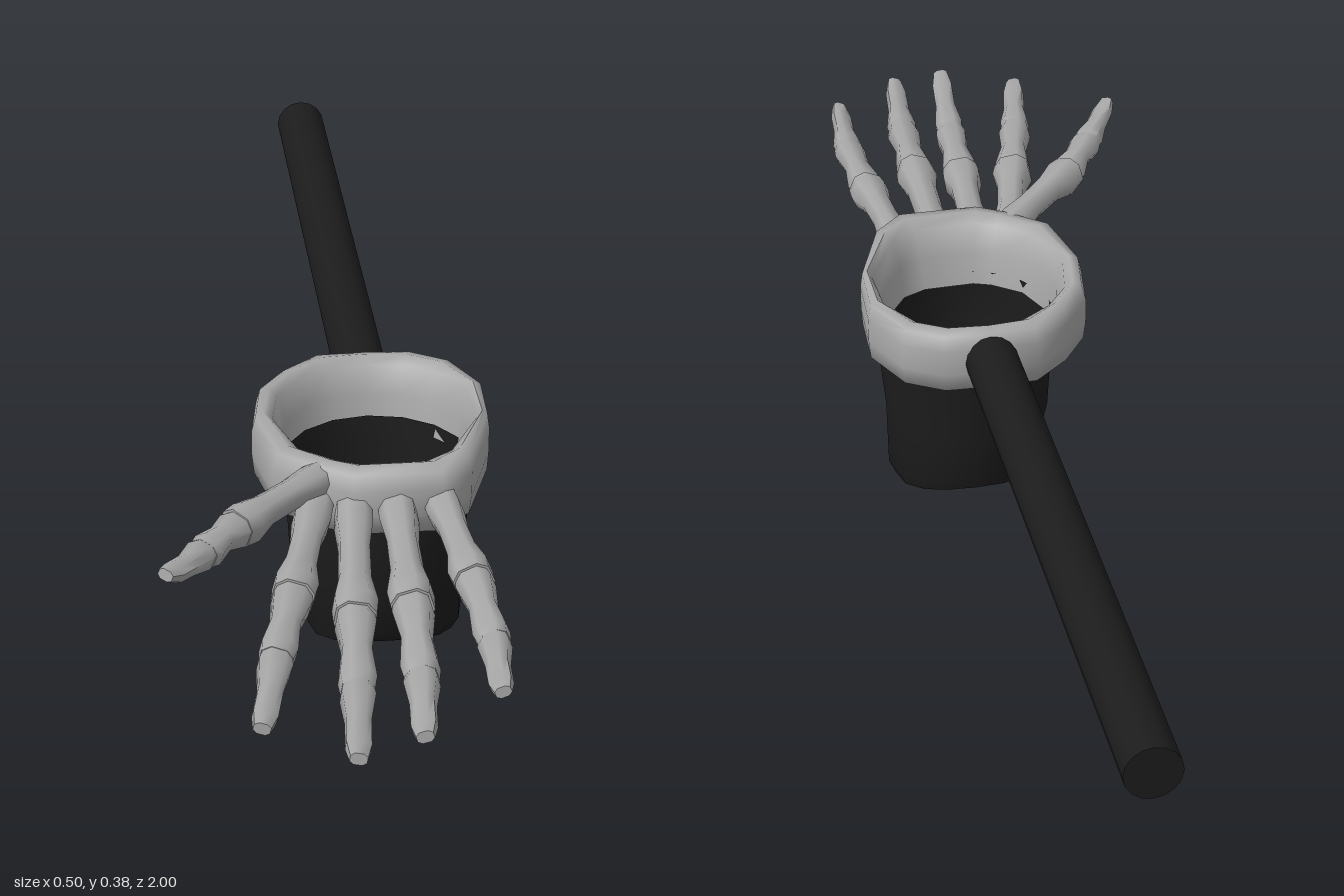
import * as THREE from 'three';
import { toCreasedNormals, mergeVertices } from 'three/addons/utils/BufferGeometryUtils.js';

const bone = new THREE.MeshStandardMaterial({ color: 0xa8a8a8 });
bone.name = 'bone grey';
const black = new THREE.MeshStandardMaterial({ color: 0x1c1c1c, side: THREE.DoubleSide });
black.name = 'soft black';

// Skin a list of equal-length loops, optionally closing both ends with fans
function loft(loops, caps, crease) {
  const n = loops[0].length;
  const pos = loops.flat().flatMap((p) => [p.x, p.y, p.z]);
  const index = [];
  for (let r = 0; r < loops.length - 1; r++) {
    for (let i = 0; i < n; i++) {
      const j = (i + 1) % n;
      const a = r * n + i, b = r * n + j, c = a + n, d = b + n;
      index.push(a, b, d, a, d, c);
    }
  }
  if (caps) {
    const last = (loops.length - 1) * n;
    for (let i = 1; i < n - 1; i++) {
      index.push(0, i + 1, i);
      index.push(last, last + i, last + i + 1);
    }
  }
  let g = new THREE.BufferGeometry();
  g.setAttribute('position', new THREE.Float32BufferAttribute(pos, 3));
  g.setIndex(index);
  g = mergeVertices(g, 1e-5);
  return toCreasedNormals(g, crease);
}

function add(parent, name, geometry, material) {
  const mesh = new THREE.Mesh(geometry, material);
  mesh.name = name;
  parent.add(mesh);
  return mesh;
}

// One finger bone: chamfered-square sections [t, half width, half height, lift]
function boneGeometry(a, b, sections, size, roll) {
  const d = b.clone().sub(a).normalize();
  const s = new THREE.Vector3(0, 1, 0).cross(d).normalize();
  s.applyAxisAngle(d, roll);
  const u = d.clone().cross(s);
  const corner = [[1, -0.5], [1, 0.5], [0.5, 1], [-0.5, 1], [-1, 0.5], [-1, -0.5], [-0.5, -1], [0.5, -1]];
  const loops = sections.map(([t, w, h, lift]) => {
    const c = a.clone().lerp(b, t);
    c.y += lift * size;
    return corner.map(([x, y]) => c.clone()
      .addScaledVector(s, x * w * size).addScaledVector(u, y * h * size));
  });
  return loft(loops, true, 0.9);
}

const LONG = [[-0.04, 0.024, 0.024, 0], [0.15, 0.025, 0.025, 0], [0.4, 0.02, 0.02, 0.003],
  [0.7, 0.021, 0.021, 0.003], [0.9, 0.029, 0.028, 0], [1.02, 0.027, 0.026, 0]];
const MIDDLE = [[-0.06, 0.022, 0.021, 0], [0.12, 0.026, 0.024, 0], [0.5, 0.019, 0.017, 0.002],
  [0.88, 0.024, 0.022, 0], [1.03, 0.021, 0.019, 0]];
const TIP = [[-0.08, 0.018, 0.016, 0], [0.12, 0.022, 0.02, 0], [0.45, 0.016, 0.014, -0.002],
  [0.8, 0.016, 0.012, 0], [1, 0.011, 0.008, 0.004]];

export function createModel() {
  const model = new THREE.Group();
  model.name = 'skeletonHandHoop';

  // Handle rod
  const rod = add(model, 'handle', new THREE.CylinderGeometry(0.039, 0.039, 1.02, 16), black);
  rod.rotation.x = Math.PI / 2;
  rod.position.set(0.085, 0.317, -0.49);

  // Palm hoop: irregular outline outside, round opening inside
  const cx = 0.085, cz = 0.19;
  const outline = [[0.015, 0], [-0.04, 0.05], [-0.08, 0.11], [-0.093, 0.2], [-0.072, 0.32], [-0.01, 0.375],
    [0.03, 0.4], [0.155, 0.4], [0.2, 0.35], [0.242, 0.22], [0.247, 0.12], [0.21, 0.035], [0.155, 0], [0.085, -0.003]];
  // k = 0 on the round opening, k = 1 on the outline
  const hoop = (k, y, radius = 0.133) => outline.map(([x, z]) => {
    const a = Math.atan2(z - cz, x - cx);
    const ix = cx + radius * Math.cos(a), iz = cz + radius * Math.sin(a);
    return new THREE.Vector3(ix + (x - ix) * k, y, iz + (z - iz) * k);
  });
  const profile = [[0, 0.265], [0.6, 0.262], [0.93, 0.272], [1, 0.3], [1, 0.338],
    [0.88, 0.36], [0.6, 0.365], [0.35, 0.355], [0.12, 0.315], [0, 0.265]];
  add(model, 'palmHoop', loft(profile.map(([k, y]) => hoop(k, y)), false, 1.1), bone);

  // Hanging pouch: [y, radius x, radius z, centre x, centre z, hem wave]
  const pouch = [[0.285, 0.134, 0.134, 0.086, 0.195, 0], [0.25, 0.134, 0.135, 0.088, 0.199, 0],
    [0.14, 0.125, 0.131, 0.086, 0.2, 0], [0.05, 0.113, 0.115, 0.097, 0.195, 0.01],
    [0.032, 0.106, 0.108, 0.094, 0.192, 0.013], [0.004, 0.001, 0.001, 0.09, 0.197, 0]];
  const pouchLoops = pouch.map(([y, rx, rz, x, z, wave]) => Array.from({ length: 16 }, (_, i) => {
    const a = (i / 16) * Math.PI * 2;
    return new THREE.Vector3(x + rx * Math.cos(a), y - wave * Math.cos(2 * a), z + rz * Math.sin(a));
  }));
  add(model, 'pouch', loft(pouchLoops, false, 0.8), black);

  // Fingers: joint positions from palm to tip
  const fingers = [
    { name: 'thumb', size: 0.95, roll: -0.3,
      joints: [[-0.005, 0.337, 0.345], [-0.135, 0.345, 0.495], [-0.185, 0.353, 0.575], [-0.24, 0.372, 0.67]] },
    { name: 'indexFinger', size: 1, roll: -0.25,
      joints: [[-0.022, 0.308, 0.385], [-0.07, 0.3, 0.605], [-0.105, 0.295, 0.755], [-0.137, 0.293, 0.925]] },
    { name: 'middleFinger', size: 1, roll: -0.15,
      joints: [[0.032, 0.305, 0.385], [0.008, 0.285, 0.64], [-0.006, 0.274, 0.805], [-0.025, 0.287, 0.995]] },
    { name: 'ringFinger', size: 1, roll: 0.3,
      joints: [[0.092, 0.308, 0.385], [0.083, 0.298, 0.64], [0.075, 0.288, 0.805], [0.06, 0.295, 0.965]] },
    { name: 'littleFinger', size: 0.95, roll: 0.4,
      joints: [[0.153, 0.31, 0.38], [0.17, 0.303, 0.59], [0.176, 0.297, 0.74], [0.168, 0.302, 0.88]] },
  ];
  for (const { name, size, roll, joints } of fingers) {
    const finger = new THREE.Group();
    finger.name = name;
    const p = joints.map((j) => new THREE.Vector3(...j));
    [LONG, MIDDLE, TIP].forEach((sections, i) => {
      const label = name + ['BaseBone', 'MiddleBone', 'TipBone'][i];
      add(finger, label, boneGeometry(p[i], p[i + 1], sections, size, roll), bone);
    });
    model.add(finger);
  }
  return model;
}
